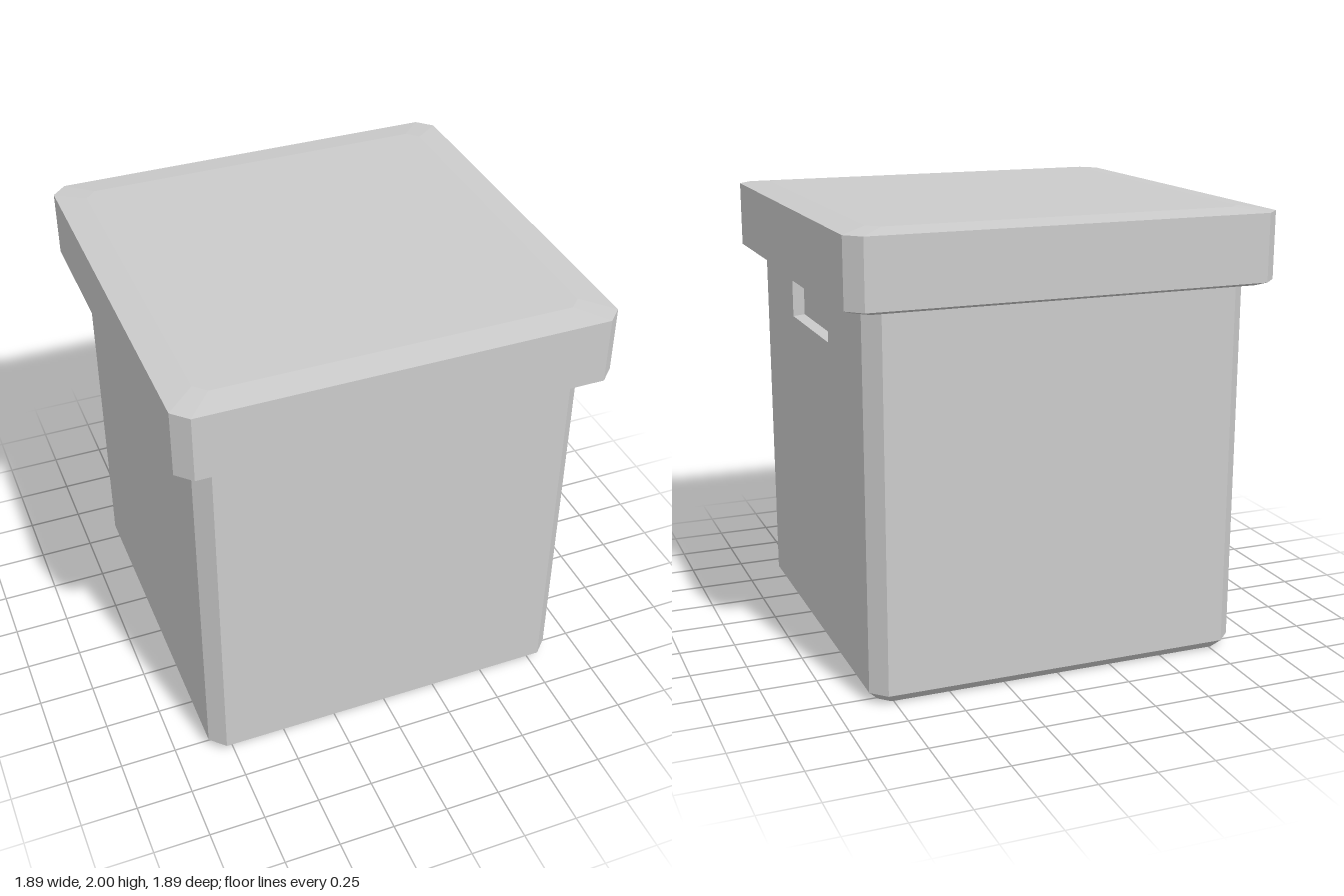
import * as THREE from 'three';

const material = new THREE.MeshStandardMaterial({ color: 0xcccccc, flatShading: true });

// Square cross-section with cut corners: half width h, corner cut c, at height y
function octagon(y, h, c) {
  const a = h - c;
  return [[h, a], [h, -a], [a, -h], [-a, -h], [-h, -a], [-h, a], [-a, h], [a, h]]
    .map(([x, z]) => [x, y, z]);
}

// Rectangle standing in the plane at x
function rectangle(x, y0, y1, halfZ) {
  return [[x, y0, -halfZ], [x, y1, -halfZ], [x, y1, halfZ], [x, y0, halfZ]];
}

// Joins successive loops with flat faces; skip(segment, side) leaves a face out
function loft(loops, { startCap = true, endCap = true, skip = () => false } = {}) {
  const pos = [];
  const tri = (...points) => points.forEach((p) => pos.push(...p));
  const n = loops[0].length;
  for (let s = 0; s < loops.length - 1; s++) {
    for (let i = 0; i < n; i++) {
      if (skip(s, i)) continue;
      const j = (i + 1) % n;
      const [lo, hi] = [loops[s], loops[s + 1]];
      tri(lo[i], lo[j], hi[j]);
      tri(lo[i], hi[j], hi[i]);
    }
  }
  const first = loops[0], last = loops[loops.length - 1];
  for (let i = 1; i < n - 1; i++) {
    if (startCap) tri(first[0], first[i + 1], first[i]);
    if (endCap) tri(last[0], last[i], last[i + 1]);
  }
  const geometry = new THREE.BufferGeometry();
  geometry.setAttribute('position', new THREE.Float32BufferAttribute(pos, 3));
  geometry.computeVertexNormals();
  return geometry;
}

function part(name, geometry) {
  const mesh = new THREE.Mesh(geometry, material);
  mesh.name = name;
  return mesh;
}

export function createModel() {
  const group = new THREE.Group();
  group.name = 'storageBox';

  // Body with bevelled foot; the two side panels are left open for the handle panels
  const half = 0.85, cut = 0.065, footY = 0.045, bodyTop = 1.9;
  group.add(part('body', loft([
    octagon(0, 0.805, 0.045),
    octagon(footY, half, cut),
    octagon(bodyTop, half, cut),
  ], { skip: (s, i) => s === 1 && i % 4 === 0 })));

  // Side panels with a shallow recessed grip
  const panel = loft([
    rectangle(half, footY, bodyTop, half - cut),
    rectangle(half, 1.44, 1.605, 0.295),
    rectangle(half - 0.05, 1.447, 1.598, 0.283),
  ], { startCap: false });
  const left = part('leftHandlePanel', panel);
  const right = part('rightHandlePanel', panel);
  right.rotation.y = Math.PI;
  group.add(left, right);

  // Hollow lid: inner ceiling, inner wall, bevelled lip, outer wall, bevelled top
  group.add(part('lid', loft([
    octagon(1.93, 0.89, 0.06),
    octagon(1.675, 0.9, 0.055),
    octagon(1.692, 0.945, 0.065),
    octagon(1.985, 0.945, 0.065),
    octagon(2, 0.82, 0.05),
  ])));

  return group;
}
